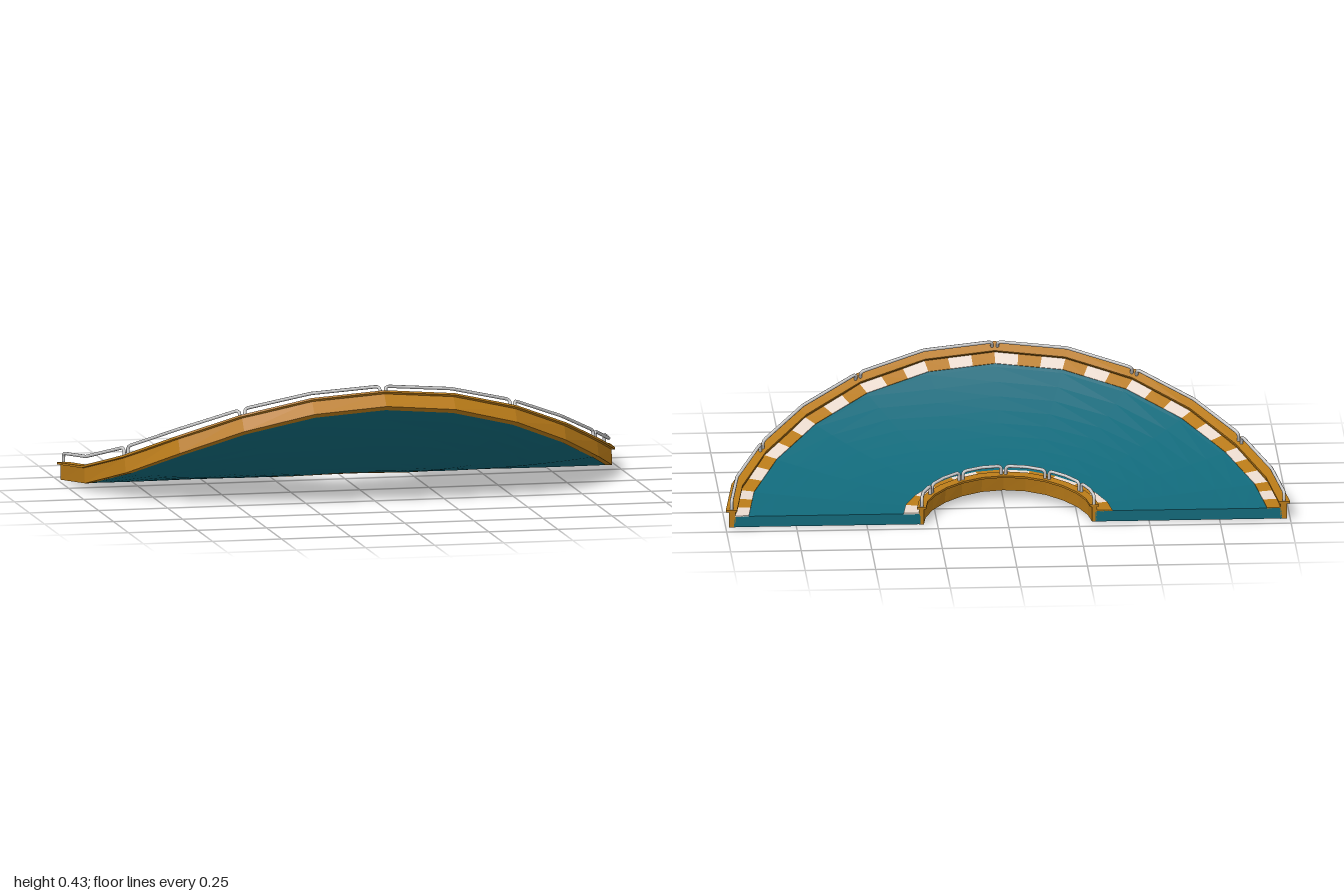
import * as THREE from 'three';

const BEND = 1.254;            // radius of the upward bend
const STEP = Math.PI / 12;     // the half ring has 12 straight facets
const Z0 = -0.443;

// Half-ring point (radius, height, angle) rolled upward about the x axis
function bend(r, h, a) {
  const t = (r * Math.sin(a)) / BEND;
  return new THREE.Vector3(
    r * Math.cos(a),
    BEND - (BEND - h) * Math.cos(t),
    Z0 + (BEND - h) * Math.sin(t)
  );
}

// Same point kept on the straight chord of its facet
function place(r, h, a) {
  const k = Math.min(11, Math.max(0, Math.floor(a / STEP + 1e-6)));
  return bend(r, h, k * STEP).lerp(bend(r, h, (k + 1) * STEP), a / STEP - k);
}

const mat = (color, flatShading = true) => new THREE.MeshStandardMaterial({ color, flatShading });

export function createModel() {
  const model = new THREE.Group();
  const teal = mat(0x11697a), orange = mat(0xb87a18), cream = mat(0xe8d8cc);
  const grey = mat(0xcccccc, false);

  // A box whose x, y, z become radius, height and angle
  function arcBox(name, material, r0, r1, h0, h1, a0, a1, segR, segA) {
    const geo = new THREE.BoxGeometry(1, 1, 1, segR, 1, segA);
    const p = geo.attributes.position;
    for (let i = 0; i < p.count; i++) {
      const q = place(
        r0 + (p.getX(i) + 0.5) * (r1 - r0),
        h0 + (p.getY(i) + 0.5) * (h1 - h0),
        a0 + (p.getZ(i) + 0.5) * (a1 - a0)
      );
      p.setXYZ(i, q.x, q.y, q.z);
    }
    geo.computeVertexNormals();
    const mesh = new THREE.Mesh(geo, material);
    mesh.name = name;
    model.add(mesh);
  }

  // Hoop-shaped rail with two rounded top corners
  function rail(name, r, a0, a1, gap) {
    const base = 0.058, top = 0.095, c = 0.016;
    const s = a0 + gap / r, e = a1 - gap / r, d = c / r;
    const P = (h, a) => place(r, h, a);
    const path = new THREE.CurvePath();
    const line = (a, b) => path.add(new THREE.LineCurve3(a, b));
    line(P(base, s), P(top - c, s));
    path.add(new THREE.QuadraticBezierCurve3(P(top - c, s), P(top, s), P(top, s + d)));
    line(P(top, s + d), P(top, (a0 + a1) / 2));
    line(P(top, (a0 + a1) / 2), P(top, e - d));
    path.add(new THREE.QuadraticBezierCurve3(P(top, e - d), P(top, e), P(top - c, e)));
    line(P(top - c, e), P(base, e));
    const mesh = new THREE.Mesh(new THREE.TubeGeometry(path, 56, 0.006, 8), grey);
    mesh.name = name;
    model.add(mesh);
  }

  // Banked road slab
  arcBox('road', teal, 0.31, 0.97, 0.001, 0.04, 0, Math.PI, 10, 12);

  // Kerb walls with a slightly wider lip on top
  arcBox('outerWall', orange, 0.966, 0.988, 0, 0.058, 0, Math.PI, 1, 12);
  arcBox('outerWallLip', orange, 0.96, 1.0, 0.055, 0.063, 0, Math.PI, 1, 12);
  arcBox('innerWall', orange, 0.298, 0.316, 0, 0.058, 0, Math.PI, 1, 12);
  arcBox('innerWallLip', orange, 0.29, 0.322, 0.055, 0.063, 0, Math.PI, 1, 12);

  // Alternating stripes painted along both edges
  function stripes(name, r0, r1, count) {
    const w = Math.PI / count;
    for (let i = 0; i < count; i++) {
      arcBox(name, i % 2 ? orange : cream, r0, r1, 0.038, 0.0425, i * w, (i + 1) * w, 1, 1);
    }
  }
  stripes('outerStripe', 0.918, 0.967, 36);
  stripes('innerStripe', 0.315, 0.37, 12);

  // Guard rails, each spanning two facets
  for (let i = 0; i < 6; i++) {
    rail('outerRail', 0.98, i * 2 * STEP, (i + 1) * 2 * STEP, 0.01);
    rail('innerRail', 0.306, i * 2 * STEP, (i + 1) * 2 * STEP, 0.008);
  }
  return model;
}
